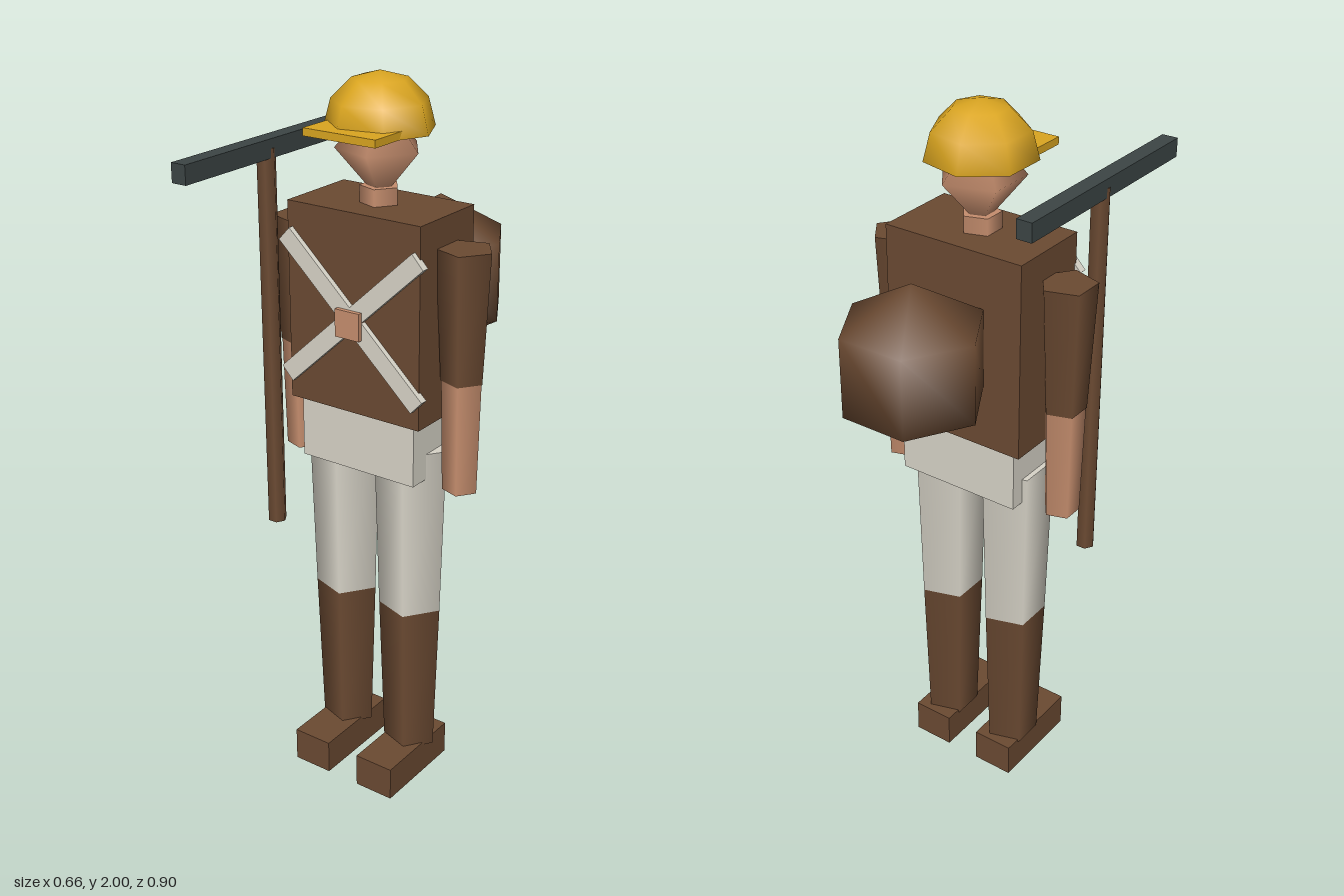
import * as THREE from 'three';

const mat = (name, color) => {
  const m = new THREE.MeshStandardMaterial({ color });
  m.name = name;
  return m;
};

export function createModel() {
  const brown = mat('brown cloth', 0x6b4a32);
  const skin = mat('skin', 0xc68e6e);
  const white = mat('off-white cloth', 0xd8d4c8);
  const yellow = mat('yellow', 0xdaa520);
  const steel = mat('dark steel', 0x3c4545);

  const model = new THREE.Group();
  model.name = 'worker';

  const add = (name, geometry, material, x, y, z) => {
    const mesh = new THREE.Mesh(geometry, material);
    mesh.name = name;
    mesh.position.set(x, y, z);
    model.add(mesh);
    return mesh;
  };
  const box = (name, material, w, h, d, x, y, z) =>
    add(name, new THREE.BoxGeometry(w, h, d), material, x, y, z);
  // Low-sided tapered limb with one corner towards +x
  const limb = (name, material, rTop, rBottom, yTop, yBottom, x, z = 0, sides = 5) =>
    add(name, new THREE.CylinderGeometry(rTop, rBottom, yTop - yBottom, sides).rotateY(Math.PI / 2),
      material, x, (yTop + yBottom) / 2, z);

  // Torso and hips
  box('torso', brown, 0.41, 0.54, 0.24, 0, 1.4, 0);
  box('hips', white, 0.36, 0.175, 0.21, 0, 1.045, 0);

  // Arms and legs
  for (const [side, s] of [['left', 1], ['right', -1]]) {
    limb(side + 'Sleeve', brown, 0.075, 0.058, 1.595, 1.245, s * 0.26);
    limb(side + 'Forearm', skin, 0.056, 0.049, 1.25, 0.935, s * 0.26);
    limb(side + 'Thigh', white, 0.105, 0.092, 1.03, 0.54, s * 0.109);
    limb(side + 'Boot', brown, 0.092, 0.077, 0.545, 0.09, s * 0.109);
    box(side + 'Foot', brown, 0.118, 0.098, 0.28, s * 0.109, 0.049, 0.047);
  }

  // Neck and faceted head
  limb('neck', skin, 0.053, 0.053, 1.715, 1.66, 0);
  add('head', new THREE.SphereGeometry(0.115, 5, 2).scale(1, 1.18, 1).rotateY(Math.PI), skin, 0, 1.81, 0);

  // Helmet dome, closed underside and peak
  const dome = new THREE.SphereGeometry(0.1445, 7, 3, 0, Math.PI * 2, 0, Math.PI / 2).rotateY(Math.PI);
  add('helmet', dome, yellow, 0, 1.857, 0);
  add('helmetUnderside', new THREE.CircleGeometry(0.1445, 7).rotateX(Math.PI / 2), yellow, 0, 1.857, 0);
  box('helmetPeak', yellow, 0.218, 0.02, 0.11, 0, 1.867, 0.118);

  // Crossed chest straps with a buckle
  for (const s of [1, -1]) {
    box('chestStrap', white, 0.565, 0.05, 0.022, 0, 1.392, 0.124).rotation.z = s * 0.75;
  }
  box('buckle', skin, 0.075, 0.075, 0.035, 0, 1.382, 0.13);

  // Round backpack
  add('backpack', new THREE.SphereGeometry(0.216, 6, 3), brown, 0, 1.413, -0.28);

  // Long-handled tool held beside the right arm
  limb('toolHandle', brown, 0.026, 0.026, 1.8, 0.745, -0.26, 0.132, 6);
  box('toolHead', steel, 0.044, 0.05, 0.65, -0.26, 1.8, 0.132);

  // Bring the overall bounds onto the centre
  model.position.set(-0.0075, 0, -0.0075);
  const root = new THREE.Group();
  root.name = 'model';
  root.add(model);
  return root;
}
